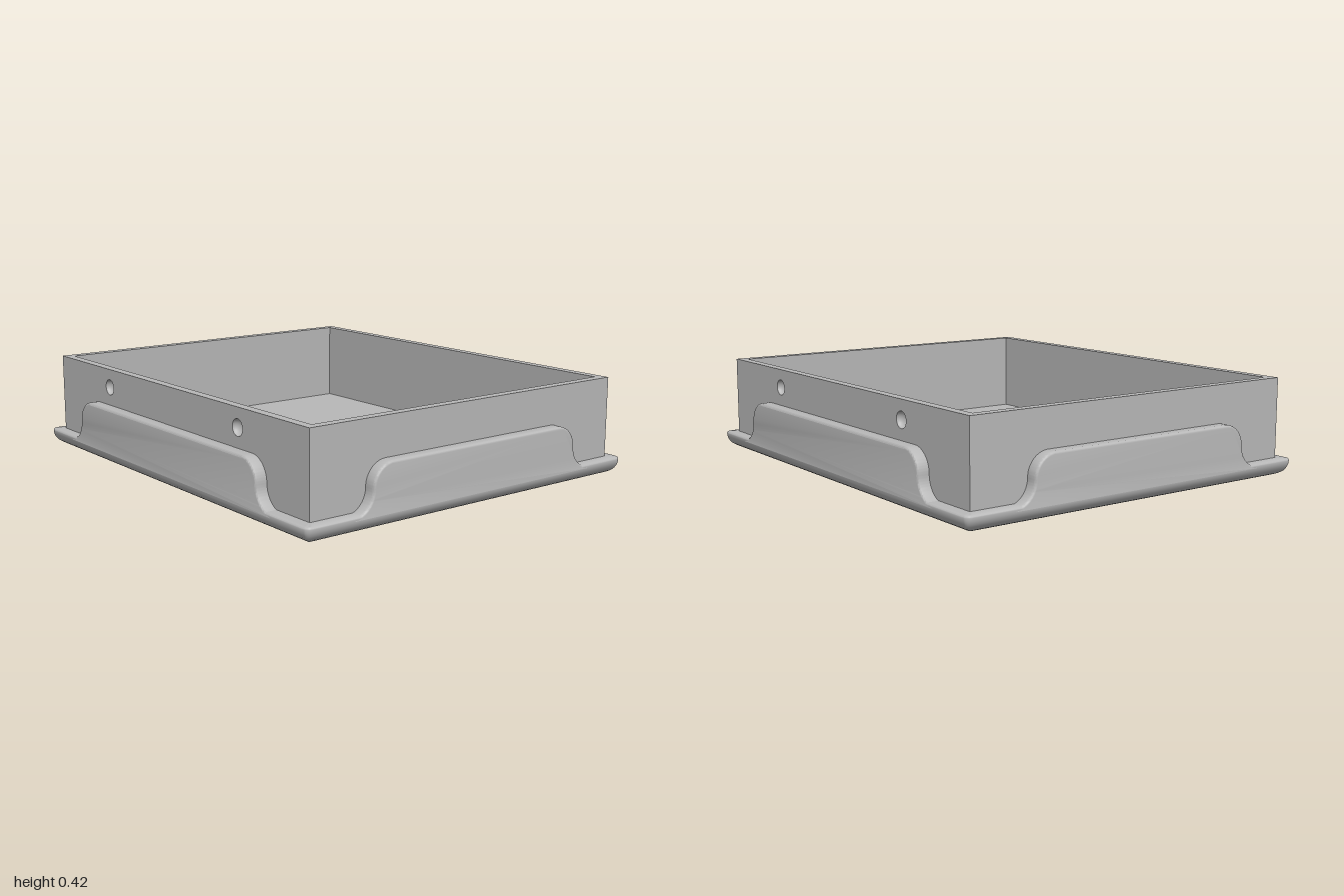
import * as THREE from 'three';
import { toCreasedNormals } from 'three/addons/utils/BufferGeometryUtils.js';

const HX = 0.84, HZ = 1;            // half size of the base
const BX = 0.79, BZ = 0.95;         // half size of the box
const FLOOR = 0.06, TOP = 0.42, WALL = 0.04;
const HOLE_Y = 0.34, HOLE_Z = 0.5, HOLE_R = 0.034;

// One rounded rectangle, counted from +x towards +z
function ring(hx, hz, r, y) {
  const pts = [], n = 6;
  [[1, 1], [-1, 1], [-1, -1], [1, -1]].forEach(([sx, sz], q) => {
    for (let k = 0; k <= n; k++) {
      const a = (q + k / n) * Math.PI / 2;
      pts.push(sx * (hx - r) + r * Math.cos(a), y, sz * (hz - r) + r * Math.sin(a));
    }
  });
  return pts;
}

// Base dish lofted through rounded rectangles, with a rounded underside and rim
function baseGeometry() {
  const profile = [];               // [inset, height]
  for (let i = 0; i <= 8; i++) {
    const a = i / 8 * Math.PI / 2;
    profile.push([0.085 * (1 - Math.sin(a)), 0.067 * (1 - Math.cos(a))]);
  }
  for (let i = 1; i <= 4; i++) {
    const a = i / 4 * Math.PI / 2;
    profile.push([0.01 * (1 - Math.cos(a)), 0.067 + 0.01 * Math.sin(a)]);
  }
  profile.push([0.055, 0.077], [0.055, FLOOR]);
  const rings = profile.map(([d, y]) => ring(HX - d, HZ - d, Math.max(0.03 - d, 0.004), y));
  rings.unshift(ring(0, 0, 0, 0));
  rings.push(ring(0, 0, 0, FLOOR));
  const n = rings[0].length / 3, index = [];
  for (let i = 0; i < rings.length - 1; i++) {
    for (let j = 0; j < n; j++) {
      const k = (j + 1) % n;
      const a = i * n + j, b = i * n + k, c = b + n, d = a + n;
      index.push(a, d, b, d, c, b);
    }
  }
  const g = new THREE.BufferGeometry();
  g.setAttribute('position', new THREE.Float32BufferAttribute(rings.flat(), 3));
  g.setIndex(index);
  return toCreasedNormals(g, 0.6);
}

// Raised skirt panel with S-shaped ends, its outer face at z = reach
function skirtGeometry(half, reach) {
  const r = 0.095, bevel = 0.01, low = 0.07, s = new THREE.Shape();
  s.moveTo(-half - r, 0.055);
  s.lineTo(half + r, 0.055);
  s.lineTo(half + r, low);
  s.absarc(half + r, low + r, r, -Math.PI / 2, -Math.PI, true);
  s.absarc(half - r, low + r, r, 0, Math.PI / 2, false);
  s.lineTo(-half + r, low + 2 * r);
  s.absarc(-half + r, low + r, r, Math.PI / 2, Math.PI, false);
  s.absarc(-half - r, low + r, r, 0, -Math.PI / 2, true);
  const g = new THREE.ExtrudeGeometry(s, {
    depth: 0.045, bevelThickness: bevel, bevelSize: bevel, bevelOffset: -bevel,
    bevelSegments: 3, curveSegments: 14,
  });
  g.translate(0, 0, reach - 0.045 - bevel);
  return toCreasedNormals(g, 0.6);
}

// Outer layer of a side wall, pierced for the dimples and facing +x
function sideSkinGeometry() {
  const s = new THREE.Shape();
  s.moveTo(-BZ, FLOOR);
  s.lineTo(BZ, FLOOR);
  s.lineTo(BZ, TOP);
  s.lineTo(-BZ, TOP);
  for (const z of [-HOLE_Z, HOLE_Z]) {
    s.holes.push(new THREE.Path().absarc(z, HOLE_Y, HOLE_R, 0, Math.PI * 2, true));
  }
  const g = new THREE.ExtrudeGeometry(s, { depth: 0.03, bevelEnabled: false, curveSegments: 24 });
  g.translate(0, 0, BX - 0.03);
  g.rotateY(Math.PI / 2);
  return g;
}

// Hollow round dimple opening towards +x
function dimpleGeometry() {
  const pts = [];
  for (let i = 0; i <= 8; i++) {
    const a = i / 8 * Math.PI / 2;
    pts.push(new THREE.Vector2(HOLE_R * Math.cos(a), -0.028 * Math.sin(a)));
  }
  return new THREE.LatheGeometry(pts, 24).rotateZ(-Math.PI / 2);
}

export function createModel() {
  const model = new THREE.Group();
  model.name = 'tray';
  const grey = new THREE.MeshStandardMaterial({ color: 0xb8b8b8 });
  grey.name = 'grey';
  const add = (parent, name, geometry, x = 0, y = 0, z = 0) => {
    const mesh = new THREE.Mesh(geometry, grey);
    mesh.name = name;
    mesh.position.set(x, y, z);
    parent.add(mesh);
    return mesh;
  };

  add(model, 'base', baseGeometry());

  const h = TOP - FLOOR, midY = (TOP + FLOOR) / 2;
  const endWall = new THREE.BoxGeometry(2 * (BX - WALL), h, WALL);
  const innerWall = new THREE.BoxGeometry(WALL - 0.03, h, 2 * BZ);
  const sideSkin = sideSkinGeometry(), dimple = dimpleGeometry();
  const endSkirt = skirtGeometry(0.535, HZ), sideSkirt = skirtGeometry(0.69, HX);

  // Each half turn gives one end and one side
  for (const [i, end, side] of [[0, 'front', 'left'], [1, 'back', 'right']]) {
    const half = new THREE.Group();
    half.name = end + 'And' + side[0].toUpperCase() + side.slice(1) + 'Walls';
    half.rotation.y = i * Math.PI;
    model.add(half);
    add(half, end + 'Wall', endWall, 0, midY, BZ - WALL / 2);
    add(half, end + 'Skirt', endSkirt);
    add(half, side + 'Wall', sideSkin);
    add(half, side + 'InnerWall', innerWall, BX - 0.035, midY, 0);
    add(half, side + 'Skirt', sideSkirt).rotation.y = Math.PI / 2;
    for (const z of [-HOLE_Z, HOLE_Z]) add(half, side + 'Dimple', dimple, BX, HOLE_Y, z);
  }
  return model;
}
